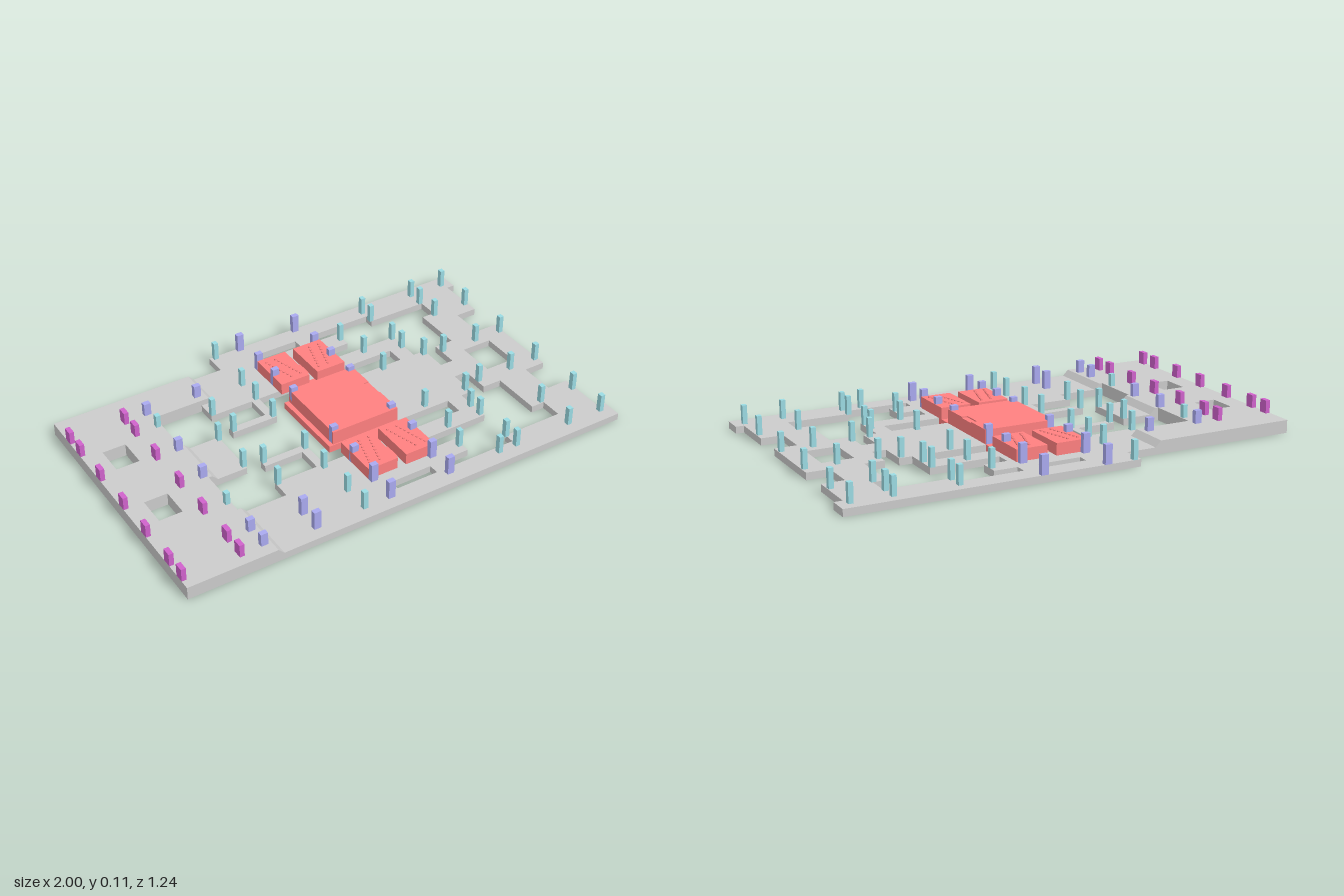
import * as THREE from 'three';

const BASE = 0.03, DECK = 0.055, TOP = 0.11;
const material = (color) => new THREE.MeshStandardMaterial({ color, flatShading: true });
const mirrorZ = (points) => points.map(([x, z]) => [x, -z]);
const rect = (x0, x1, z0, z1) => [[x0, z0], [x1, z0], [x1, z1], [x0, z1]];

// Flat plate from a plan outline in (x, z), lying between y0 and y1
function plate(outline, holes, y0, y1) {
  const toVectors = (pts) => pts.map(([x, z]) => new THREE.Vector2(x, z));
  const shape = new THREE.Shape(toVectors(outline));
  for (const h of holes) shape.holes.push(new THREE.Path(toVectors(h)));
  return new THREE.ExtrudeGeometry(shape, { depth: y1 - y0, bevelEnabled: false })
    .rotateX(Math.PI / 2).translate(0, y1, 0);
}

// Box given by its limits
function block(x0, x1, y0, y1, z0, z1) {
  return new THREE.BoxGeometry(x1 - x0, y1 - y0, z1 - z0)
    .translate((x0 + x1) / 2, (y0 + y1) / 2, (z0 + z1) / 2);
}

export function createModel() {
  const model = new THREE.Group();
  const grey = material(0xcccccc), red = material(0xff8080);
  const teal = material(0x9bdbe3), blue = material(0xaaaaf0), magenta = material(0xd062cc);
  const add = (name, geometry, mat, parent = model) => {
    const mesh = new THREE.Mesh(geometry, mat);
    mesh.name = name;
    parent.add(mesh);
    return mesh;
  };
  const group = (name) => {
    const g = new THREE.Group();
    g.name = name;
    model.add(g);
    return g;
  };

  // Floor plate with its open courts
  const outline = [
    [-1, -0.52], [-0.23, -0.52], [-0.23, -0.62], [1, -0.62], [1, -0.535], [0.965, -0.535],
    [0.965, -0.325], [0.87, -0.325], [0.87, -0.175], [0.965, -0.175],
    [0.965, 0.17], [0.87, 0.17], [0.87, 0.325], [0.965, 0.325], [0.965, 0.53],
    [1, 0.53], [1, 0.62], [-1, 0.62],
  ];
  const courtHalf = [
    [-0.635, -0.115], [-0.635, -0.34], [-0.42, -0.34], [-0.42, -0.255], [-0.23, -0.255],
    [-0.23, -0.145], [-0.4, -0.145], [-0.4, -0.11], [-0.195, -0.11], [-0.195, -0.255],
    [0.46, -0.255], [0.46, -0.175], [0.21, -0.175],
  ];
  const leftCourt = [[-0.465, -0.115], ...courtHalf, ...mirrorZ(courtHalf).reverse(), [-0.465, 0.115]];
  const rightCourt = [
    [0.235, -0.535], [0.52, -0.535], [0.52, -0.49], [0.79, -0.49], [0.79, -0.395],
    [0.73, -0.395], [0.73, -0.175], [0.645, -0.175], [0.645, -0.05], [0.585, -0.05],
    [0.585, -0.175], [0.53, -0.175], [0.53, -0.335], [0.235, -0.335], [0.235, -0.4],
    [0.335, -0.4], [0.335, -0.485], [0.235, -0.485],
  ];
  const slot = rect(-0.035, 0.15, -0.535, -0.49);
  const strip = rect(-0.035, 0.15, -0.37, -0.3);
  const shafts = [rect(-0.915, -0.815, -0.245, -0.12), rect(-0.915, -0.815, 0.115, 0.24)];
  add('floorPlate', plate(outline, [
    leftCourt, rightCourt, mirrorZ(rightCourt), slot, mirrorZ(slot), strip, mirrorZ(strip),
    rect(0.735, 0.87, -0.09, 0.08), ...shafts,
  ], 0, BASE), grey);

  // Raised deck at one end, and the slopes down from it
  add('raisedDeck', plate([
    [-1, -0.52], [-0.385, -0.52], [-0.385, -0.34], [-0.635, -0.34], [-0.635, -0.115],
    [-0.62, -0.115], [-0.62, 0.115], [-0.635, 0.115], [-0.635, 0.34], [-0.62, 0.34],
    [-0.62, 0.62], [-1, 0.62],
  ], shafts, BASE, DECK), grey);
  for (const [x, z0, z1] of [[-0.385, -0.52, -0.34], [-0.62, -0.115, 0.115], [-0.62, 0.34, 0.62]]) {
    const side = new THREE.Shape([
      new THREE.Vector2(x, BASE), new THREE.Vector2(x + 0.025, BASE), new THREE.Vector2(x, DECK)]);
    add('ramp', new THREE.ExtrudeGeometry(side, { depth: z1 - z0, bevelEnabled: false })
      .translate(0, 0, z0), grey);
  }

  // Red core: low slab, spine and tall block
  const core = group('core');
  add('coreSlab', block(-0.12, 0.21, 0, BASE, -0.175, 0.175), red, core);
  add('coreBlock', plate([
    [-0.1, -0.17], [0.21, -0.17], [0.21, -0.045], [0.185, -0.045], [0.185, 0.04],
    [0.21, 0.04], [0.21, 0.17], [-0.1, 0.17],
  ], [], BASE, 0.09), red, core);
  add('coreNotch', block(0.185, 0.21, BASE, 0.085, -0.045, 0.04), red, core);

  // Paired red side blocks with slanting rows of studs
  for (const s of [-1, 1]) {
    const span = (x0, x1, y0, y1, a, b) =>
      block(x0, x1, y0, y1, Math.min(s * a, s * b), Math.max(s * a, s * b));
    add('spine', span(-0.035, 0.21, 0, BASE, 0.175, 0.255), red, core);
    add('sideSlab', span(-0.035, 0.15, 0, BASE + 0.004, 0.3, 0.37), red, core);
    for (const [x0, lean] of [[-0.1, -1], [0.075, 1]]) {
      add('sideBlock', span(x0, x0 + 0.135, BASE, 0.08, 0.23, 0.43), red, core);
      for (const row of [0.045, 0.09]) {
        for (let i = 0; i < 8; i++) {
          const t = i / 7 - 0.5, x = x0 + row + lean * s * s * t * 0.04, z = 0.33 + t * 0.14;
          add('stud', span(x - 0.004, x + 0.004, 0.08, 0.085, z - 0.004, z + 0.004), red, core);
        }
      }
    }
  }

  // Posts: [x, list of z] per column
  function posts(name, mat, w, d, columns) {
    const g = group(name + 's');
    for (const [x, zs] of columns) {
      const foot = x < -0.62 ? DECK : BASE;
      for (const z of zs) {
        add(name, block(x - w / 2, x + w / 2, foot, TOP, z - d / 2, z + d / 2), mat, g);
      }
    }
  }
  const endRow = [-0.38, -0.285, -0.105, 0.095, 0.28, 0.465, 0.56];
  posts('endPost', magenta, 0.02, 0.04, [[-0.99, endRow], [-0.75, endRow]]);
  const midRow = [-0.61, -0.445, -0.31, -0.16, 0.15, 0.3, 0.44, 0.56];
  posts('widePost', blue, 0.03, 0.022, [
    [-0.65, [-0.38, -0.105, 0.095, 0.465, 0.56]], [-0.42, [-0.38, 0.465, 0.56]],
    [-0.085, midRow], [0.192, midRow],
  ]);
  posts('slimPost', teal, 0.02, 0.022, [
    [-0.65, [-0.285, 0.285]], [-0.47, [-0.105, 0.095]], [-0.41, [-0.265, 0.26]],
    [-0.39, [-0.125, 0.115]], [-0.205, [-0.61, -0.38, -0.265, -0.125, 0.125, 0.27, 0.44, 0.56]],
    [0.325, [-0.445, 0.44]], [0.36, [-0.31, -0.16, 0.15, 0.315]],
    [0.435, [0.56]], [0.52, [-0.57, -0.5, -0.33, -0.255, 0.25, 0.315, 0.49, 0.56]],
    [0.57, [-0.16, 0.145]], [0.655, [-0.135, 0.125]],
    [0.785, [-0.57, -0.5, -0.385, 0.38, 0.56]], [0.82, [-0.125, 0.125]],
    [0.952, [-0.57, -0.385, -0.125, 0.125, 0.38, 0.56]],
  ]);
  return model;
}
